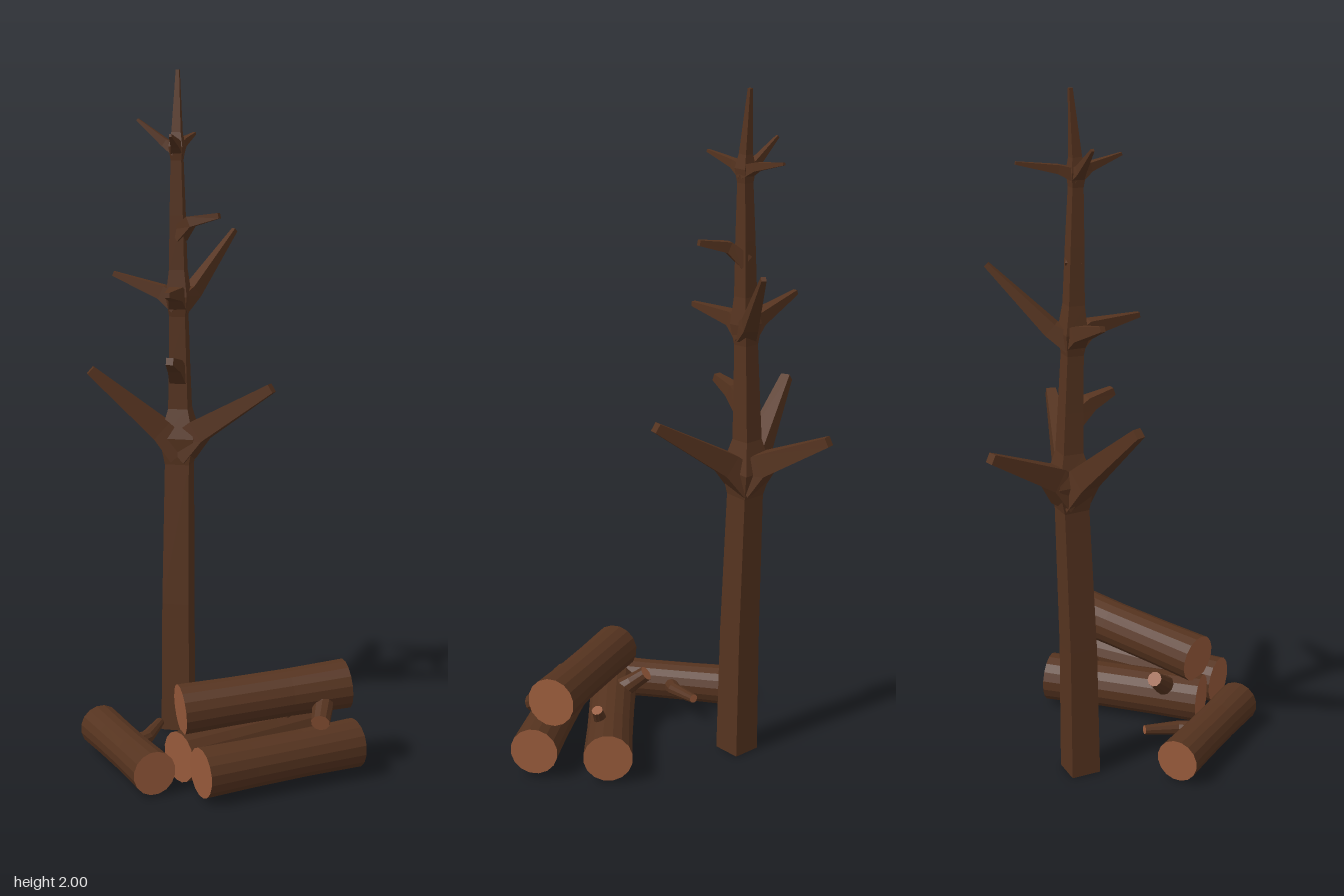
import * as THREE from 'three';

const bark = new THREE.MeshStandardMaterial({ color: 0x55331f, flatShading: true });
const cutWood = new THREE.MeshStandardMaterial({ color: 0x96593a, flatShading: true });

// Faceted tapering tube through stations [x, y, z, halfWidth], with capped ends
function limb(name, stations, sides = 4, capMaterial = bark) {
  const centres = stations.map(([x, y, z]) => new THREE.Vector3(x, y, z));
  const last = centres.length - 1;
  const overall = centres[last].clone().sub(centres[0]).normalize();
  const ref = Math.abs(overall.y) > 0.9 ? new THREE.Vector3(0, 0, 1) : new THREE.Vector3(0, 1, 0);
  const positions = [];
  centres.forEach((c, i) => {
    const t = centres[Math.min(i + 1, last)].clone().sub(centres[Math.max(i - 1, 0)]).normalize();
    const u = ref.clone().cross(t).normalize();
    const v = t.clone().cross(u);
    const r = stations[i][3] / Math.cos(Math.PI / sides);
    for (let j = 0; j < sides; j++) {
      const a = ((j + 0.5) / sides) * Math.PI * 2;
      const p = c.clone().addScaledVector(u, r * Math.cos(a)).addScaledVector(v, r * Math.sin(a));
      positions.push(p.x, p.y, p.z);
    }
  });
  const index = [];
  for (let i = 0; i < last; i++) {
    for (let j = 0; j < sides; j++) {
      const k = (j + 1) % sides;
      const a = i * sides + j, b = i * sides + k;
      index.push(a, b, b + sides, a, b + sides, a + sides);
    }
  }
  const sideCount = index.length;
  const end = last * sides;
  for (let j = 1; j < sides - 1; j++) {
    index.push(0, j + 1, j, end, end + j, end + j + 1);
  }
  const indexed = new THREE.BufferGeometry();
  indexed.setAttribute('position', new THREE.Float32BufferAttribute(positions, 3));
  indexed.setIndex(index);
  const geometry = indexed.toNonIndexed();
  geometry.computeVertexNormals();
  geometry.addGroup(0, sideCount, 0);
  geometry.addGroup(sideCount, index.length - sideCount, 1);
  const mesh = new THREE.Mesh(geometry, [bark, capMaterial]);
  mesh.name = name;
  return mesh;
}

// Round log with a slight waist and pale sawn ends
function log(name, a, b, r) {
  const at = (t, k) => [0, 1, 2].map(i => a[i] + (b[i] - a[i]) * t).concat(r * k);
  return limb(name, [at(0, 1), at(0.3, 0.96), at(0.65, 0.95), at(1, 1)], 16, cutWood);
}

function createDeadTree() {
  const tree = new THREE.Group();
  tree.name = 'deadTree';

  // Trunk, swelling where the branches fork
  tree.add(limb('trunk', [
    [-0.183, 0, -0.16, 0.044],
    [-0.183, 0.4, -0.165, 0.041],
    [-0.181, 0.83, -0.181, 0.037],
    [-0.18, 0.91, -0.187, 0.052],
    [-0.18, 1.0, -0.187, 0.03],
    [-0.18, 1.12, -0.183, 0.027],
    [-0.18, 1.28, -0.177, 0.024],
    [-0.18, 1.34, -0.175, 0.032],
    [-0.18, 1.42, -0.172, 0.023],
    [-0.18, 1.58, -0.168, 0.02],
    [-0.18, 1.74, -0.164, 0.016],
    [-0.18, 1.78, -0.163, 0.021],
    [-0.18, 1.82, -0.165, 0.014],
    [-0.18, 2, -0.178, 0.005],
  ]));

  // Large lower branches
  const lower = [[0.113, 1.08, -0.12], [-0.433, 1.12, -0.095], [-0.247, 1.04, -0.445]];
  lower.forEach(tip => tree.add(limb('lowerBranch', [
    [-0.18, 0.87, -0.185, 0.045],
    [-0.18 + (tip[0] + 0.18) * 0.22, 0.935, -0.185 + (tip[2] + 0.185) * 0.22, 0.034],
    [...tip, 0.014],
  ])));

  // Middle branches
  const middle = [[-0.05, 1.522, -0.372], [-0.38, 1.402, -0.176], [-0.166, 1.365, 0.03]];
  middle.forEach(tip => tree.add(limb('middleBranch', [
    [-0.18, 1.315, -0.175, 0.028],
    [-0.18 + (tip[0] + 0.18) * 0.25, 1.35, -0.175 + (tip[2] + 0.175) * 0.25, 0.021],
    [...tip, 0.007],
  ])));

  // Thin twigs near the top
  const upper = [[-0.3, 1.857, -0.168], [-0.167, 1.815, -0.025], [-0.164, 1.813, -0.328]];
  upper.forEach(tip => tree.add(limb('upperTwig', [
    [-0.18, 1.77, -0.163, 0.019],
    [-0.18 + (tip[0] + 0.18) * 0.3, 1.79, -0.163 + (tip[2] + 0.163) * 0.3, 0.012],
    [...tip, 0.004],
  ])));

  // Short bent stubs on the trunk
  tree.add(
    limb('frontStub', [[-0.18, 1.09, -0.18, 0.026], [-0.18, 1.135, -0.125, 0.02], [-0.18, 1.16, -0.055, 0.011]]),
    limb('sideStub', [[-0.178, 1.52, -0.17, 0.022], [-0.135, 1.563, -0.145, 0.016], [-0.045, 1.583, -0.122, 0.008]]),
  );
  return tree;
}

function createLogPile() {
  const pile = new THREE.Group();
  pile.name = 'logPile';
  pile.add(
    log('singleLog', [-0.37, 0.068, 0.065], [-0.12, 0.068, 0.4], 0.062),
    log('backLog', [-0.075, 0.08, 0.295], [0.256, 0.08, -0.07], 0.072),
    log('frontLog', [0.012, 0.08, 0.4], [0.4, 0.087, 0.098], 0.07),
    log('topLog', [-0.073, 0.217, 0.282], [0.365, 0.25, 0.057], 0.071),
  );
  // Sawn branch stumps on the logs
  const stumps = [
    [[-0.25, 0.07, 0.23, 0.026], [-0.205, 0.075, 0.15, 0.02], [-0.192, 0.085, 0.045, 0.013]],
    [[-0.01, 0.1, 0.215, 0.036], [-0.05, 0.145, 0.17, 0.026], [-0.073, 0.178, 0.135, 0.022]],
    [[0.305, 0.235, 0.1, 0.034], [0.314, 0.205, 0.15, 0.029], [0.317, 0.18, 0.21, 0.026]],
    [[0.165, 0.1, 0.05, 0.026], [0.19, 0.145, 0.045, 0.018], [0.207, 0.18, 0.037, 0.016]],
  ];
  stumps.forEach(s => pile.add(limb('logStump', s, 10, cutWood)));
  return pile;
}

export function createModel() {
  const model = new THREE.Group();
  model.name = 'deadTreeWithLogs';
  model.add(createDeadTree(), createLogPile());
  return model;
}
